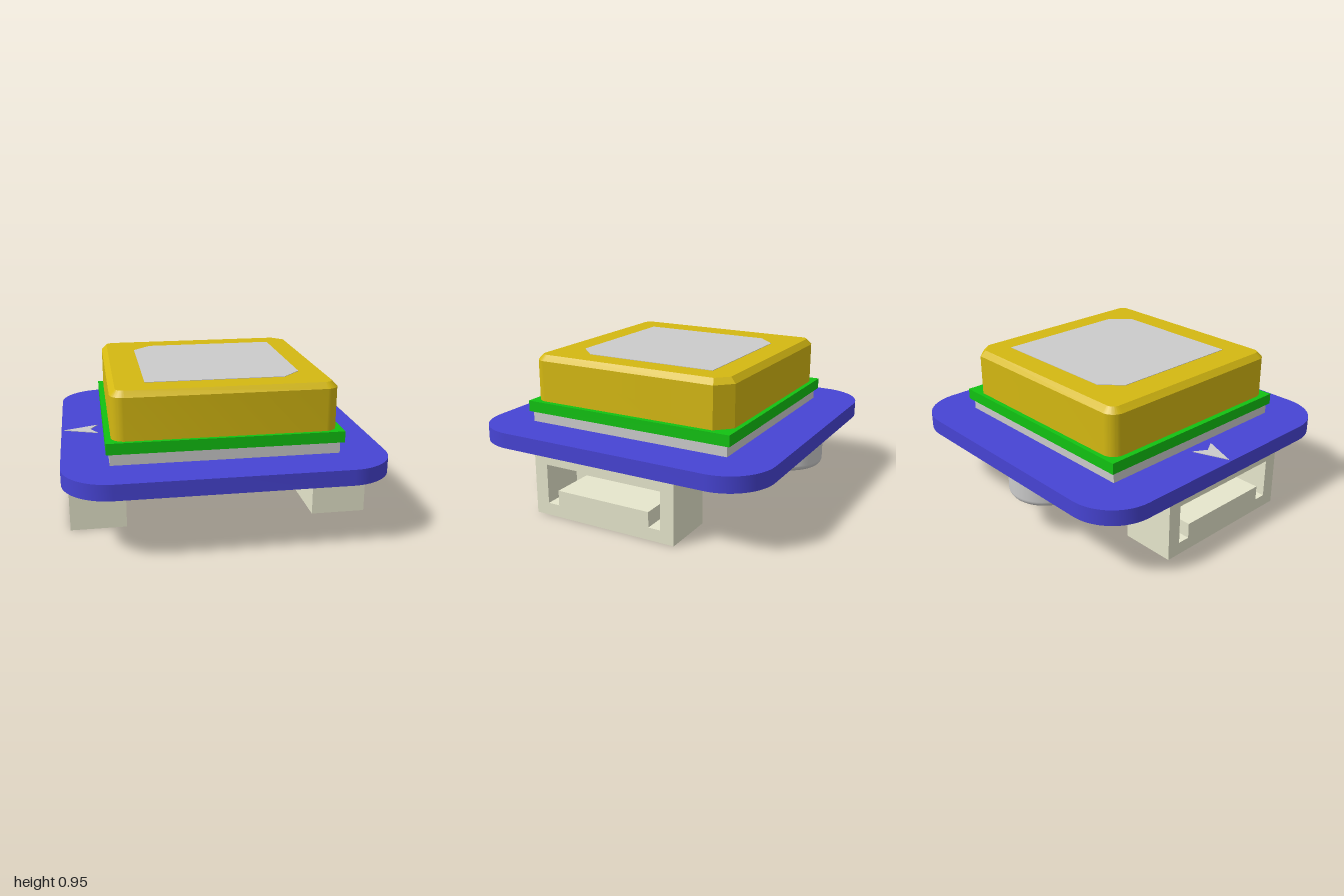
import * as THREE from 'three';
import { toCreasedNormals } from 'three/addons/utils/BufferGeometryUtils.js';

const mat = (color) => new THREE.MeshStandardMaterial({ color });
const grey = mat(0xcccccc), blue = mat(0x4744d4), green = mat(0x12c212), gold = mat(0xd4b812);
const ivory = mat(0xe6e6cc), dark = mat(0x606060);

// Polygon in plan, given as [x, z] corners with y of the shape pointing to -z
const plan = (pts) => new THREE.Shape(pts.map(([x, z]) => new THREE.Vector2(x, -z)));

// Square outline with rounded corners; the back +x corner may be cut straight
function roundedSquare(h, r, cut = 0) {
  const s = new THREE.Shape();
  s.moveTo(-h + r, -h);
  s.lineTo(h - r, -h);
  s.absarc(h - r, -h + r, r, -Math.PI / 2, 0);
  if (cut) {
    s.lineTo(h, h - cut);
    s.lineTo(h - cut, h);
  } else {
    s.absarc(h - r, h - r, r, 0, Math.PI / 2);
  }
  s.lineTo(-h + r, h);
  s.absarc(-h + r, h - r, r, Math.PI / 2, Math.PI);
  s.lineTo(-h, -h + r);
  s.absarc(-h + r, -h + r, r, Math.PI, Math.PI * 1.5);
  return s;
}

export function createModel() {
  const model = new THREE.Group();
  const add = (name, geometry, material, parent = model) => {
    const mesh = new THREE.Mesh(geometry, material);
    mesh.name = name;
    parent.add(mesh);
    return mesh;
  };
  // Box from its limits
  const box = (name, x0, x1, y0, y1, z0, z1, material, parent) => {
    const g = new THREE.BoxGeometry(x1 - x0, y1 - y0, z1 - z0);
    g.translate((x0 + x1) / 2, (y0 + y1) / 2, (z0 + z1) / 2);
    return add(name, g, material, parent);
  };
  // Plan outline raised from y0 to y1
  const slab = (name, shape, y0, y1, material) => {
    const g = new THREE.ExtrudeGeometry(shape, { depth: y1 - y0, bevelEnabled: false, curveSegments: 16 });
    g.rotateX(-Math.PI / 2).translate(0, y0, 0);
    return add(name, toCreasedNormals(g, 0.5), material);
  };

  // Circuit board
  slab('circuitBoard', roundedSquare(1, 0.3), 0.4, 0.5, blue);

  // Antenna stack: shield, substrate, ceramic block and metal patch
  box('shield', -0.71, 0.705, 0.5, 0.575, -0.7, 0.705, grey);
  box('substrate', -0.73, 0.73, 0.572, 0.643, -0.725, 0.72, green);
  const bevel = 0.035;
  const block = new THREE.ExtrudeGeometry(roundedSquare(0.695 - bevel, 0.05, 0.075), {
    depth: 0.285, bevelSize: bevel, bevelThickness: bevel, bevelSegments: 1, curveSegments: 8,
  });
  block.rotateX(-Math.PI / 2).translate(0, 0.59 + bevel, 0);
  add('ceramicBlock', toCreasedNormals(block, 0.4), gold);
  slab('antennaPatch', plan([[-0.475, 0.5], [0.395, 0.5], [0.515, 0.375], [0.515, -0.505],
    [-0.355, -0.505], [-0.475, -0.385]]), 0.94, 0.948, grey);

  // Direction arrow on the top face
  slab('directionArrow', plan([[-0.98, 0], [-0.76, 0.085], [-0.81, 0], [-0.76, -0.085]]), 0.498, 0.504, grey);

  // Two side connectors with a keyed socket facing outward
  for (const side of [1, -1]) {
    const connector = new THREE.Group();
    connector.name = side > 0 ? 'leftConnector' : 'rightConnector';
    const face = new THREE.Shape([[-0.495, 0], [0.495, 0], [0.495, 0.4], [-0.495, 0.4]]
      .map(([u, v]) => new THREE.Vector2(u, v)));
    face.holes.push(new THREE.Path([[-0.405, 0.08], [-0.405, 0.335], [0.405, 0.335], [0.405, 0.08],
      [0.325, 0.08], [0.325, 0.178], [-0.325, 0.178], [-0.325, 0.08]]
      .map(([u, v]) => new THREE.Vector2(u, v))));
    const housing = new THREE.ExtrudeGeometry(face, { depth: 0.295, bevelEnabled: false });
    housing.rotateY(Math.PI / 2).translate(0.67, 0, 0);
    add('housing', housing, ivory, connector);
    box('housingBack', 0.61, 0.67, 0, 0.4, -0.495, 0.495, ivory, connector);
    if (side < 0) connector.rotation.y = Math.PI;
    model.add(connector);
  }

  // Round can under the board, with a softened lower rim
  const profile = [new THREE.Vector2(0, 0.225)];
  for (let i = 0; i <= 6; i++) {
    const a = (i / 6) * Math.PI / 2;
    profile.push(new THREE.Vector2(0.1975 + 0.04 * Math.sin(a), 0.265 - 0.04 * Math.cos(a)));
  }
  profile.push(new THREE.Vector2(0.2375, 0.4));
  const can = add('batteryCan', new THREE.LatheGeometry(profile, 48), grey);
  can.position.set(-0.12, 0, -0.735);

  // Sensor chip with four pins on each side and a corner dot
  const chip = new THREE.Group();
  chip.name = 'sensorChip';
  chip.position.z = 0.5;
  model.add(chip);
  box('chipBody', -0.205, 0.205, 0.328, 0.4, -0.205, 0.205, dark, chip);
  for (let s = 0; s < 4; s++) {
    const row = new THREE.Group();
    row.name = 'pinRow';
    row.rotation.y = s * Math.PI / 2;
    for (let i = 0; i < 4; i++) {
      const x = (i - 1.5) * 0.092;
      box('pin', x - 0.022, x + 0.022, 0.385, 0.402, 0.2, 0.257, blue, row);
    }
    chip.add(row);
  }
  const dot = add('cornerDot', new THREE.CylinderGeometry(0.03, 0.03, 0.004, 20), grey, chip);
  dot.position.set(-0.15, 0.327, 0.15);

  // Printed pair of axis arrows on the underside
  slab('axisLines', plan([[-0.275, 0.135], [0.2, 0.135], [0.2, 0.09], [-0.23, 0.09],
    [-0.23, -0.28], [-0.275, -0.28]]), 0.394, 0.402, grey);
  slab('sideAxisHead', plan([[0.34, 0.1125], [0.13, 0.0275], [0.18, 0.1125], [0.13, 0.1975]]), 0.393, 0.402, grey);
  slab('backAxisHead', plan([[-0.2525, -0.42], [-0.3375, -0.21], [-0.2525, -0.26], [-0.1675, -0.21]]), 0.393, 0.402, grey);

  return model;
}
